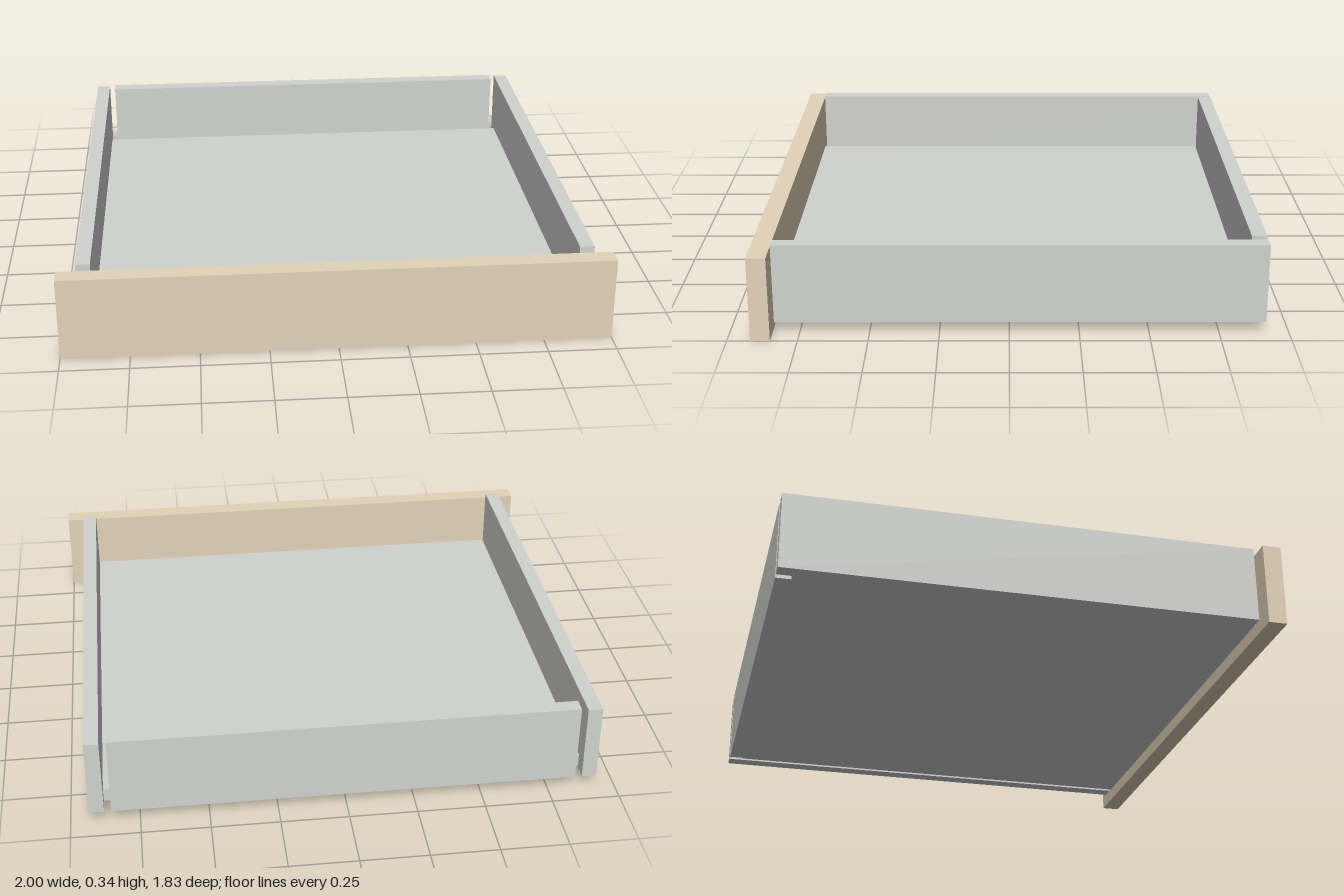
import * as THREE from 'three';

export function createModel() {
  const model = new THREE.Group();
  model.name = 'drawer';

  const wood = new THREE.MeshStandardMaterial({ color: 0xe3d3b9 });
  wood.name = 'pale wood';
  const grey = new THREE.MeshStandardMaterial({ color: 0xd1d3d0 });
  grey.name = 'light grey panel';

  // A board given by its extents along each axis
  const board = (name, material, [x0, x1], [y0, y1], [z0, z1]) => {
    const mesh = new THREE.Mesh(new THREE.BoxGeometry(x1 - x0, y1 - y0, z1 - z0), material);
    mesh.position.set((x0 + x1) / 2, (y0 + y1) / 2, (z0 + z1) / 2);
    mesh.name = name;
    model.add(mesh);
  };

  // Wide front panel
  board('frontPanel', wood, [-1, 1], [0, 0.315], [0.847, 0.917]);

  // Side walls, with a small gap behind the front panel
  board('leftSide', grey, [0.878, 0.932], [0.041, 0.336], [-0.917, 0.84]);
  board('rightSide', grey, [-0.932, -0.878], [0.041, 0.336], [-0.917, 0.84]);

  // Back wall, with a narrow gap to each side wall
  board('backPanel', grey, [-0.853, 0.853], [0.041, 0.341], [-0.917, -0.861]);

  // Floor, set slightly above the lower edges of the walls
  board('bottomPanel', grey, [-0.878, 0.878], [0.048, 0.098], [-0.861, 0.847]);

  return model;
}
